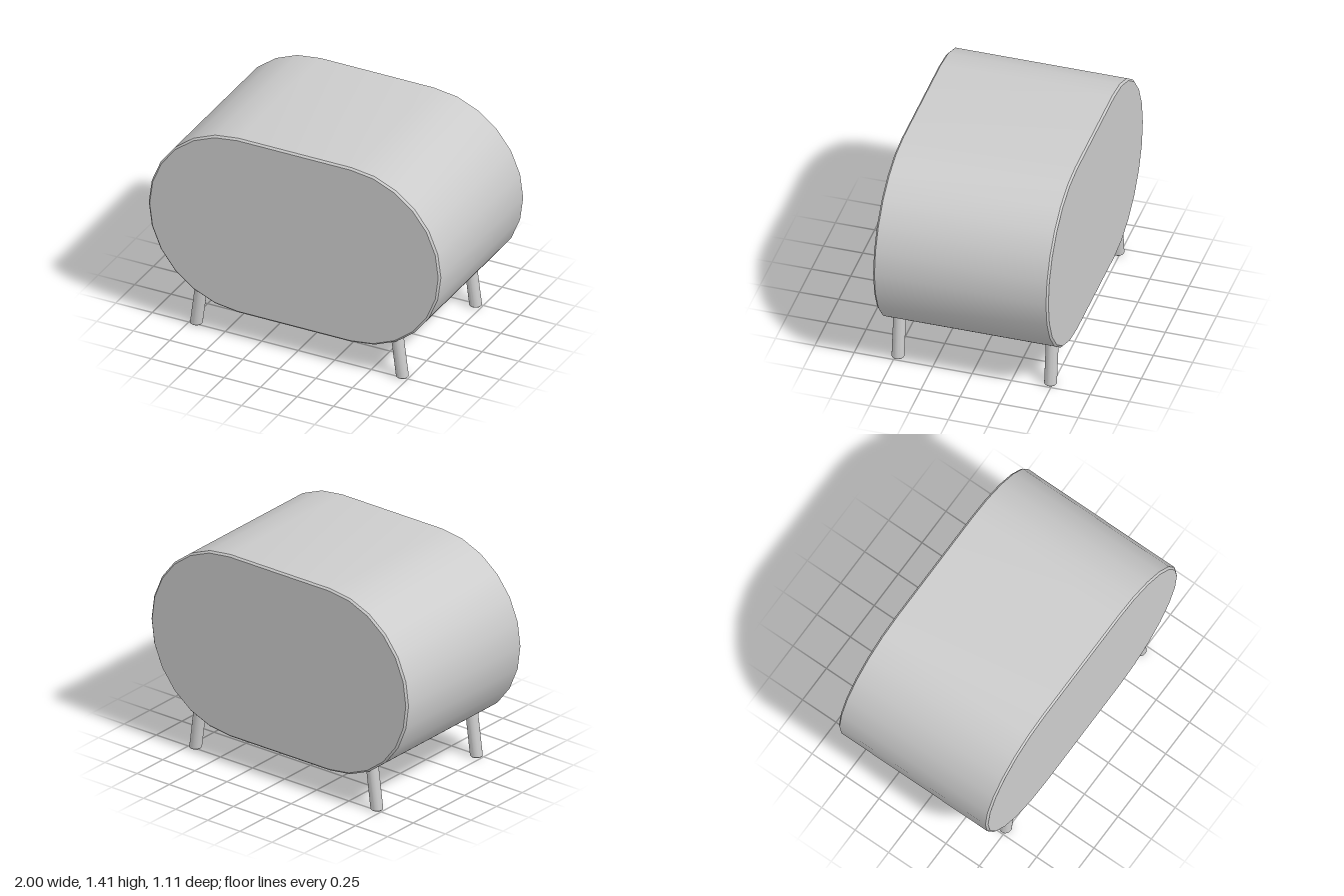
import * as THREE from 'three';
import { toCreasedNormals } from 'three/addons/utils/BufferGeometryUtils.js';

const material = new THREE.MeshStandardMaterial({ color: 0xcccccc });

// Stadium-shaped drum: two 12-sided half circles joined by flats, edges bevelled
function createBody() {
  const radius = 0.612, offset = 0.388, depth = 1.114, bevel = 0.012, steps = 12;
  const outline = [];
  for (const side of [1, -1]) {
    for (let i = 0; i <= steps; i++) {
      const a = -Math.PI / 2 + (Math.PI * i) / steps;
      outline.push(new THREE.Vector2(side * (offset + radius * Math.cos(a)), side * radius * Math.sin(a)));
    }
  }
  const geometry = new THREE.ExtrudeGeometry(new THREE.Shape(outline), {
    depth: depth - 2 * bevel,
    bevelThickness: bevel,
    bevelSize: bevel,
    bevelOffset: -bevel,
    bevelSegments: 1,
  });
  geometry.translate(0, 0.802, -depth / 2 + bevel);
  const body = new THREE.Mesh(toCreasedNormals(geometry, 0.5), material);
  body.name = 'body';
  return body;
}

// Round leg with a softened foot, slanted outward but cut level with the floor
function createLeg(sideX, sideZ) {
  const r = 0.039, bevel = 0.005, height = 0.36, slant = 0.13;
  const profile = [[0, 0], [r - bevel, 0], [r, bevel], [r, height], [0, height]];
  const geometry = new THREE.LatheGeometry(profile.map(([x, y]) => new THREE.Vector2(x, y)), 24);
  const pos = geometry.attributes.position;
  for (let i = 0; i < pos.count; i++) {
    pos.setX(i, pos.getX(i) - sideX * slant * pos.getY(i));
  }
  const leg = new THREE.Mesh(toCreasedNormals(geometry, 0.5), material);
  leg.name = (sideZ > 0 ? 'front' : 'back') + (sideX > 0 ? 'Left' : 'Right') + 'Leg';
  leg.position.set(sideX * 0.706, 0, sideZ * 0.485);
  return leg;
}

export function createModel() {
  const model = new THREE.Group();
  model.name = 'pouf';
  model.add(createBody());
  for (const x of [-1, 1]) for (const z of [-1, 1]) model.add(createLeg(x, z));
  return model;
}
